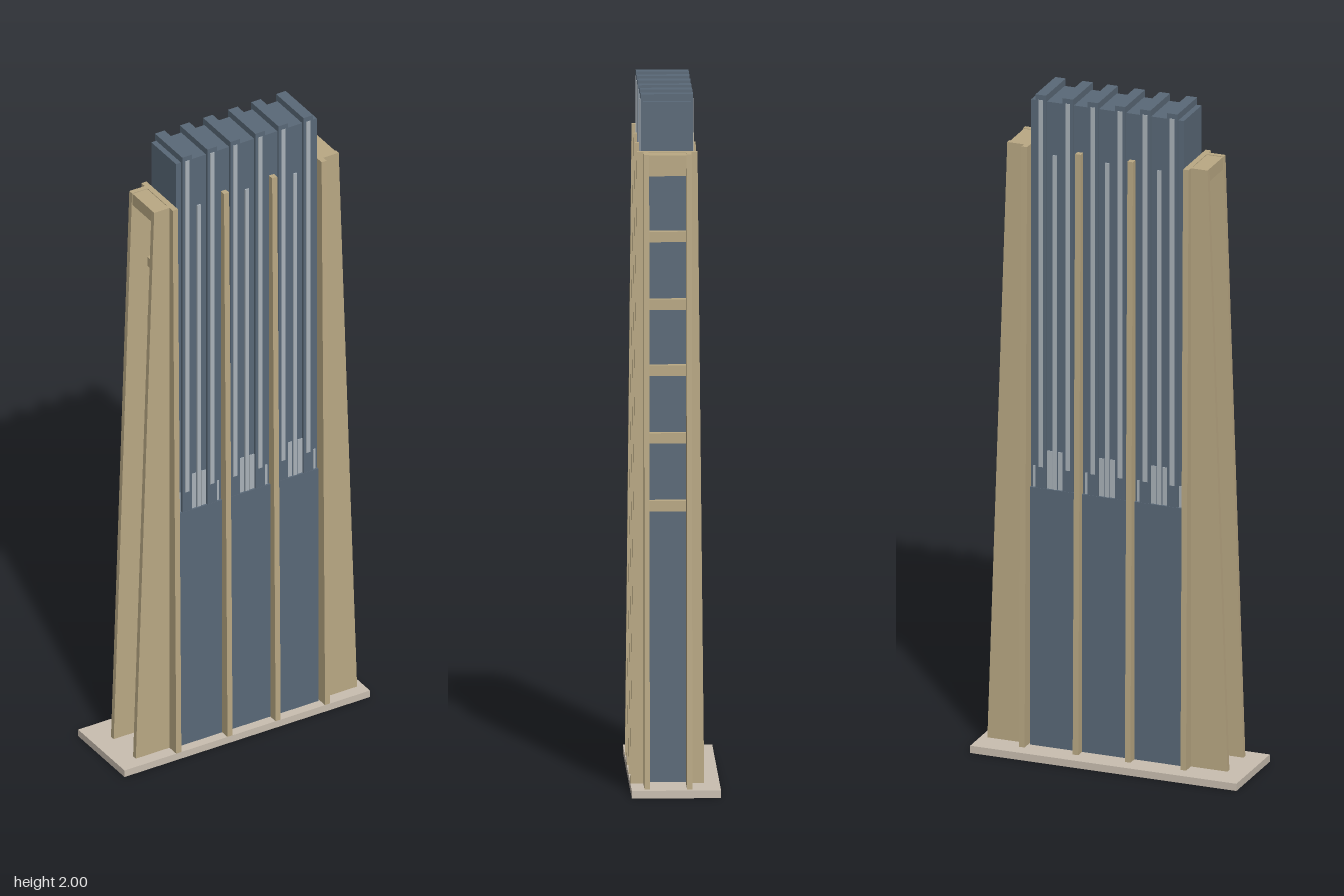
import * as THREE from 'three';

const mat = (name, color) => {
  const m = new THREE.MeshStandardMaterial({ color });
  m.name = name;
  return m;
};

export function createModel() {
  const blue = mat('slate blue', 0x5a6978);
  const tan = mat('tan stone', 0xbaa984);
  const pale = mat('pale grey', 0xaab3ba);
  const plinth = mat('plinth stone', 0xcabfb1);

  const model = new THREE.Group();
  const tower = new THREE.Group();
  tower.name = 'tower';
  tower.position.set(0.02, 0, 0.022);
  model.add(tower);

  // Box between two corners; rule(v) may move its vertices
  function block(parent, name, material, [x0, x1], [y0, y1], [z0, z1], rule) {
    const g = new THREE.BoxGeometry(x1 - x0, y1 - y0, z1 - z0);
    g.translate((x0 + x1) / 2, (y0 + y1) / 2, (z0 + z1) / 2);
    if (rule) {
      const p = g.attributes.position;
      const v = new THREE.Vector3();
      for (let i = 0; i < p.count; i++) {
        v.fromBufferAttribute(p, i);
        rule(v);
        p.setXYZ(i, v.x, v.y, v.z);
      }
      g.computeVertexNormals();
    }
    const mesh = new THREE.Mesh(g, material);
    mesh.name = name;
    parent.add(mesh);
    return mesh;
  }
  // Range a..b, reflected when s is -1
  const side = (s, a, b) => (s > 0 ? [a, b] : [-b, -a]);

  const Y0 = 0.02, SHOULDER = 1.84;
  block(model, 'base', plinth, [-0.408, 0.408], [0, 0.022], [-0.127, 0.127]);
  block(tower, 'core', blue, [-0.234, 0.234], [Y0, 1.98], [-0.068, 0.068]);

  const bays = [-0.16, 0, 0.16];

  // Mullions run through the core from front to back and rise above the roof
  for (const bx of bays) for (const s of [-1, 1]) {
    const x = bx + s * 0.0415;
    block(tower, 'mullion', blue, [x - 0.016, x + 0.016], [0.8, 2], [-0.075, 0.075]);
  }

  // Facades, alike on front and back
  for (const f of [1, -1]) {
    const facade = new THREE.Group();
    facade.name = f > 0 ? 'frontFacade' : 'backFacade';
    tower.add(facade);
    block(facade, 'lowerPanel', blue, [-0.234, 0.234], [Y0, 0.805], side(f, 0.06, 0.076));
    for (const bx of bays) {
      block(facade, 'centreStrip', pale, [bx - 0.006, bx + 0.006], [0.8, 1.82], side(f, 0.066, 0.072));
      for (const s of [-1, 1]) {
        const x = bx + s * 0.0415;
        block(facade, 'mullionStrip', pale, [x - 0.007, x + 0.007], [0.87, 1.985], side(f, 0.07, 0.0765));
        const w = side(s, 0.009, 0.025);
        block(facade, 'lowerPane', pale, [bx + w[0], bx + w[1]], [0.8, 0.92], side(f, 0.066, 0.07));
        const e = side(s, 0.061, 0.068);
        block(facade, 'edgePane', pale, [bx + e[0], bx + e[1]], [0.8, 0.87], side(f, 0.066, 0.07));
      }
    }
    // Ribs lean inwards towards the top
    for (const x of [-0.2475, -0.077, 0.083, 0.2475]) {
      block(facade, 'rib', tan, [x - 0.0085, x + 0.0085], [Y0, SHOULDER], side(f, 0.056, 0.105), (v) => {
        if (v.y > 1 && Math.abs(v.z) > 0.1) v.z = f * 0.086;
      });
    }
  }

  // End buttresses: paired tapering fins, a cap and rungs between the posts
  for (const s of [-1, 1]) {
    const end = new THREE.Group();
    end.name = s > 0 ? 'leftButtress' : 'rightButtress';
    tower.add(end);
    for (const f of [-1, 1]) {
      block(end, 'fin', tan, side(s, 0.25, 0.368), [Y0, SHOULDER], side(f, 0.053, 0.068), (v) => {
        if (v.y > 1 && Math.abs(v.x) > 0.3) v.x = s * 0.307;
      });
    }
    block(end, 'cap', tan, side(s, 0.25, 0.305), [1.8, 1.838], [-0.06, 0.06]);
    block(end, 'crossBeam', tan, side(s, 0.239, 0.256), [1.8, SHOULDER], [-0.06, 0.06]);
    for (const y of [0.82, 1.015, 1.21, 1.4, 1.595, 1.785]) {
      block(end, 'rung', tan, side(s, 0.232, 0.256), [y - 0.015, y + 0.015], [-0.056, 0.056]);
    }
  }
  return model;
}
